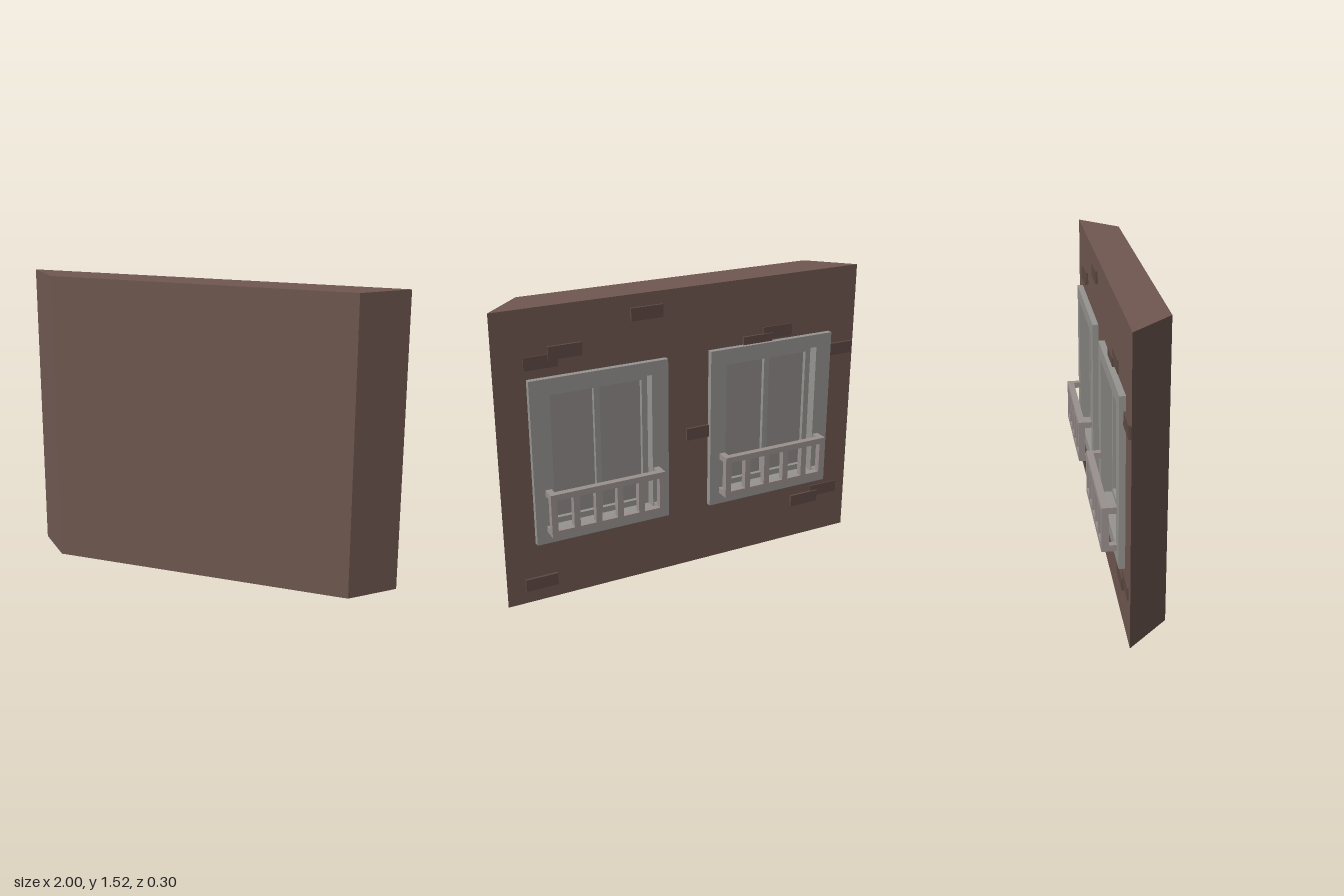
import * as THREE from 'three';

const mat = (color) => new THREE.MeshStandardMaterial({ color, flatShading: true });
const WALL = mat(0x6f5850), BRICK = mat(0x5f4b44), FRAME = mat(0x969490), GLASS = mat(0x8f8a88), RAIL = mat(0x9a918e);

const HEIGHT = 1.52, WIN_X = 0.48;
const OPEN = { w: 0.54, y0: 0.395, y1: 1.112 }; // window opening

function add(parent, name, geometry, material) {
  const mesh = new THREE.Mesh(geometry, material);
  mesh.name = name;
  parent.add(mesh);
  return mesh;
}

// Box given by its limits on each axis
function box(parent, name, material, x0, x1, y0, y1, z0, z1) {
  const mesh = add(parent, name, new THREE.BoxGeometry(x1 - x0, y1 - y0, z1 - z0), material);
  mesh.position.set((x0 + x1) / 2, (y0 + y1) / 2, (z0 + z1) / 2);
  return mesh;
}

function rect(target, x0, x1, y0, y1) {
  target.moveTo(x0, y0);
  target.lineTo(x1, y0);
  target.lineTo(x1, y1);
  target.lineTo(x0, y1);
  target.closePath();
  return target;
}

// Slab with rectangular holes between two depths
function slab(outer, holes, z0, z1) {
  const shape = rect(new THREE.Shape(), ...outer);
  holes.forEach((h) => shape.holes.push(rect(new THREE.Path(), ...h)));
  return new THREE.ExtrudeGeometry(shape, { depth: z1 - z0, bevelEnabled: false }).translate(0, 0, z0);
}

// Wall with 45 degree ends; the rear layer has the window recesses
function buildWall(parent) {
  const wall = new THREE.Group();
  wall.name = 'wall';
  parent.add(wall);
  const layer = (name, holes, z0, z1) => {
    const geometry = slab([-1, 1, 0, HEIGHT], holes, z0, z1);
    const p = geometry.attributes.position;
    for (let i = 0; i < p.count; i++) {
      if (Math.abs(p.getX(i)) > 0.99) p.setX(i, Math.sign(p.getX(i)) * (0.95 - p.getZ(i)));
    }
    geometry.computeVertexNormals();
    add(wall, name, geometry, WALL);
  };
  const hole = (cx) => [cx - OPEN.w / 2 - 0.02, cx + OPEN.w / 2 + 0.02, OPEN.y0 - 0.02, OPEN.y1 + 0.02];
  layer('wallCore', [], 0, 0.15);
  layer('wallRearLayer', [hole(-WIN_X), hole(WIN_X)], -0.05, 0);
}

function buildWindow() {
  const g = new THREE.Group();
  g.name = 'window';
  const { w, y0, y1 } = OPEN, h = w / 2, s = 0.03;
  add(g, 'casing', slab([-0.36, 0.36, 0.325, 1.18], [[-h, h, y0, y1]], -0.08, -0.05), FRAME);
  add(g, 'recessLining', slab([-h - 0.02, h + 0.02, y0 - 0.02, y1 + 0.02], [[-h, h, y0, y1]], -0.05, 0), FRAME);
  // Sash with two panes
  const panes = [[-h + s, -s / 2, y0 + s, y1 - 0.037], [s / 2, h - s, y0 + s, y1 - 0.037]];
  add(g, 'sash', slab([-h, h, y0, y1], panes, -0.025, 0), FRAME);
  box(g, 'pane', GLASS, -h, h, y0, y1, -0.003, 0.003);
  return g;
}

function buildRailing() {
  const g = new THREE.Group();
  g.name = 'railing';
  const half = 0.305, t = 0.032, back = -0.08, inner = -0.118, outer = -0.152;
  for (const y of [0.388, 0.583]) {
    box(g, 'rail', RAIL, -half, half, y, y + t, outer, inner);
    for (const x of [-half, half - t]) box(g, 'railReturn', RAIL, x, x + t, y, y + t, inner, back);
  }
  // Balusters between the rails
  const count = 6, step = (2 * half - t) / (count - 1);
  for (let i = 0; i < count; i++) {
    const x = -half + i * step;
    box(g, 'baluster', RAIL, x, x + t, 0.388 + t, 0.583, outer, inner);
  }
  return g;
}

// Loose bricks on the rear face: left edge x, bottom y, projection
function buildBricks(parent) {
  const bricks = [
    [0.56, 1.262, 0.012], [0.68, 1.224, 0.005], [0.135, 1.39, 0.012], [0.735, 0.07, 0.012],
    [-0.487, 1.157, 0.012], [-0.608, 1.19, 0.005], [-0.163, 0.715, 0.012],
    [-0.99, 1.043, 0.012], [-0.813, 0.19, 0.012], [-0.943, 0.22, 0.005],
  ];
  const g = new THREE.Group();
  g.name = 'bricks';
  parent.add(g);
  for (const [x, y, d] of bricks) box(g, 'brick', BRICK, x, x + 0.17, y, y + 0.065, -0.05 - d, -0.045);
}

export function createModel() {
  const model = new THREE.Group();
  model.name = 'wallSection';
  buildWall(model);
  buildBricks(model);
  for (const x of [-WIN_X, WIN_X]) {
    for (const part of [buildWindow(), buildRailing()]) {
      part.position.x = x;
      model.add(part);
    }
  }
  return model;
}
